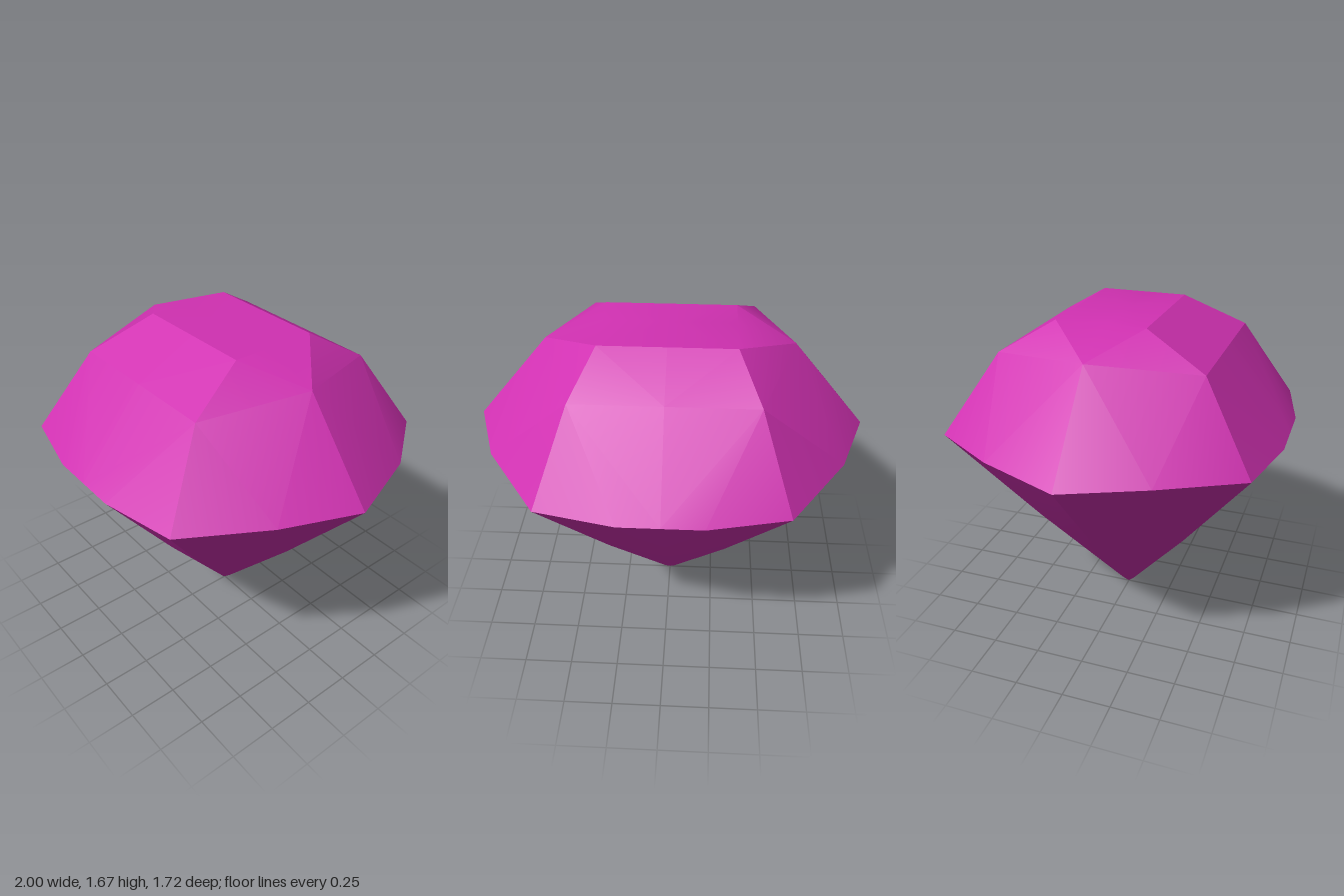
import * as THREE from 'three';
import { toCreasedNormals } from 'three/addons/utils/BufferGeometryUtils.js';

// Builds a solid from one quadrant's facets, mirrored in x and z and wound outwards
function mirroredFacets(facetsFor) {
  const positions = [];
  const core = new THREE.Vector3(0, 1, 0);
  for (const sx of [1, -1]) for (const sz of [1, -1]) {
    for (const facet of facetsFor(sz)) {
      const p = facet.map(([x, y, z]) => new THREE.Vector3(x * sx, y, z * sz));
      for (let i = 1; i < p.length - 1; i++) {
        const tri = new THREE.Triangle(p[0], p[i], p[i + 1]);
        const normal = tri.getNormal(new THREE.Vector3());
        const out = tri.getMidpoint(new THREE.Vector3()).sub(core);
        const order = normal.dot(out) > 0 ? [0, i, i + 1] : [0, i + 1, i];
        for (const k of order) positions.push(...p[k].toArray());
      }
    }
  }
  const geometry = new THREE.BufferGeometry();
  geometry.setAttribute('position', new THREE.Float32BufferAttribute(positions, 3));
  return toCreasedNormals(geometry, 0.34);
}

// Girdle outline of one quadrant, from the side point to the middle of the front
const girdle = [[1, 1.12, 0], [0.86, 1.14, 0.4], [0.59, 1.105, 0.775], [0.2, 1.105, 0.86], [0, 1.105, 0.86]];

// Upper facets: table, shoulders and main crown
function crownFacets(sz) {
  const [g0, g1, g2, g3, gm] = girdle;
  const tableZ = sz > 0 ? 0.2 : 0.255;
  const side = [0.62, 1.575, 0];
  const corner = [0.44, 1.52, 0.515];
  const cornerMid = [0, 1.52, 0.515];
  const table = [0.33, 1.675, tableZ];
  const tableMid = [0, 1.675, tableZ];
  const tableSide = [0.33, 1.675, 0];
  return [
    [side, g0, g1], [side, g1, corner], [corner, g1, g2], [corner, g2, g3],
    [corner, g3, gm, cornerMid],
    [table, corner, cornerMid, tableMid],
    [table, side, corner],
    [table, tableSide, side],
    [table, tableMid, [0, 1.675, 0], tableSide],
  ];
}

// Lower facets: slightly bulged on the way down to the point
function pavilionFacets() {
  const level = (h, bulge) => girdle.map(([x, y, z]) => [x * h * bulge, y * h, z * h * bulge]);
  const rings = [girdle, level(0.5, 1.04), level(0.04, 1.2)];
  const facets = [];
  for (let i = 0; i < girdle.length - 1; i++) {
    for (let r = 0; r < 2; r++) {
      facets.push([rings[r][i], rings[r][i + 1], rings[r + 1][i + 1], rings[r + 1][i]]);
    }
    facets.push([rings[2][i], rings[2][i + 1], [0, 0, 0]]);
  }
  return facets;
}

export function createModel() {
  const group = new THREE.Group();
  group.name = 'gem';
  const magenta = new THREE.MeshStandardMaterial({ color: 0xd131b2 });
  magenta.name = 'magenta';

  const crown = new THREE.Mesh(mirroredFacets(crownFacets), magenta);
  crown.name = 'crown';
  const pavilion = new THREE.Mesh(mirroredFacets(pavilionFacets), magenta);
  pavilion.name = 'pavilion';
  group.add(crown, pavilion);
  return group;
}
